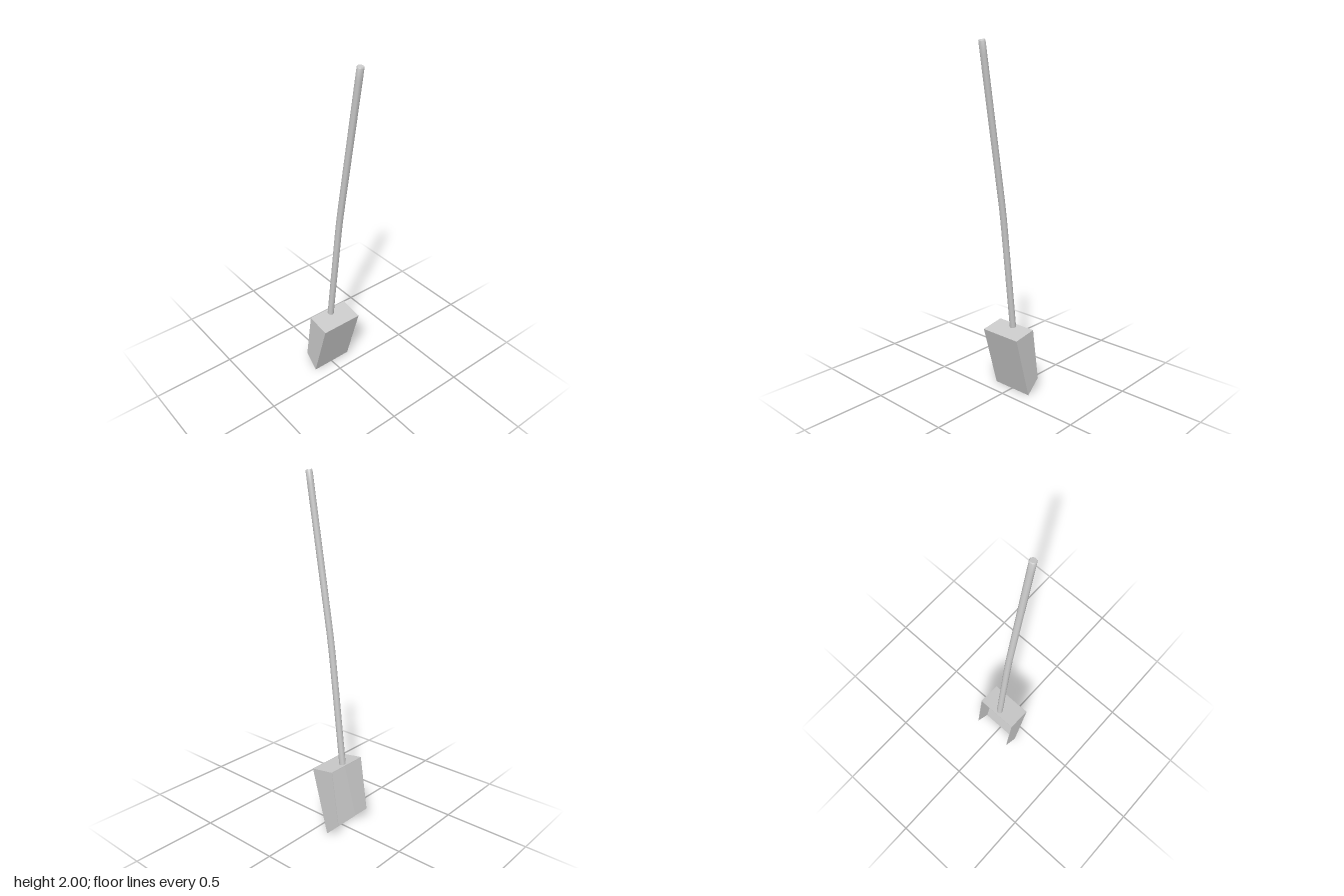
import * as THREE from 'three';
import { toCreasedNormals } from 'three/addons/utils/BufferGeometryUtils.js';

const material = new THREE.MeshStandardMaterial({ color: 0xcccccc });
const HALF_WIDTH = 0.127, THICK = 0.003;

// Scoop outline in side profile (x, y)
const neck = [-0.121, 0.399], heel = [0.02, 0.376], tip = [-0.086, 0], lip = [-0.17, 0.08];

// Flat sheet: an x/y outline extruded along z between z0 and z1
function sheet(name, outline, z0, z1) {
  const shape = new THREE.Shape(outline.map(([x, y]) => new THREE.Vector2(x, y)));
  const geometry = new THREE.ExtrudeGeometry(shape, { depth: z1 - z0, bevelEnabled: false });
  geometry.translate(0, 0, z0);
  const mesh = new THREE.Mesh(geometry, material);
  mesh.name = name;
  return mesh;
}

// Outline of a thin strip from a to b, thickened to the right of its direction
function strip(a, b) {
  const dx = b[0] - a[0], dy = b[1] - a[1], k = THICK / Math.hypot(dx, dy);
  const ox = dy * k, oy = -dx * k;
  return [a, b, [b[0] + ox, b[1] + oy], [a[0] + ox, a[1] + oy]];
}

// Scoop: closed top, back and sides; open toward -x and at the lip
function createScoop() {
  const scoop = new THREE.Group();
  scoop.name = 'scoop';
  scoop.add(sheet('scoopTop', strip(neck, heel), -HALF_WIDTH, HALF_WIDTH));
  scoop.add(sheet('scoopBlade', strip(heel, tip), -HALF_WIDTH, HALF_WIDTH));
  const side = [neck, heel, tip, lip];
  scoop.add(sheet('scoopSideFront', side, HALF_WIDTH - THICK, HALF_WIDTH));
  scoop.add(sheet('scoopSideBack', side, -HALF_WIDTH, -HALF_WIDTH + THICK));
  return scoop;
}

// Handle: a round rod with a chamfered end, bent along a gently kinked path
function createHandle() {
  const p = (x, y) => new THREE.Vector3(x, y, 0);
  const path = new THREE.CurvePath();
  path.add(new THREE.LineCurve3(p(-0.091, 0.391), p(-0.017, 1)));
  path.add(new THREE.QuadraticBezierCurve3(p(-0.017, 1), p(-0.003, 1.11), p(0.013, 1.2)));
  path.add(new THREE.LineCurve3(p(0.013, 1.2), p(0.148, 1.997)));

  const r = 0.0185, length = path.getLength(), profile = [new THREE.Vector2(0, 0)];
  const rows = 24;
  for (let i = 0; i <= rows; i++) profile.push(new THREE.Vector2(r, (length - 0.005) * i / rows));
  profile.push(new THREE.Vector2(r - 0.003, length), new THREE.Vector2(0, length));

  const geometry = new THREE.LatheGeometry(profile, 20);
  const pos = geometry.attributes.position;
  for (let i = 0; i < pos.count; i++) {
    const t = Math.min(1, pos.getY(i) / length);
    const c = path.getPointAt(t), d = path.getTangentAt(t), x = pos.getX(i);
    pos.setXY(i, c.x + d.y * x, c.y - d.x * x);
  }
  const mesh = new THREE.Mesh(toCreasedNormals(geometry, 0.6), material);
  mesh.name = 'handle';
  return mesh;
}

export function createModel() {
  const model = new THREE.Group();
  model.name = 'shovel';
  model.add(createScoop(), createHandle());
  return model;
}
